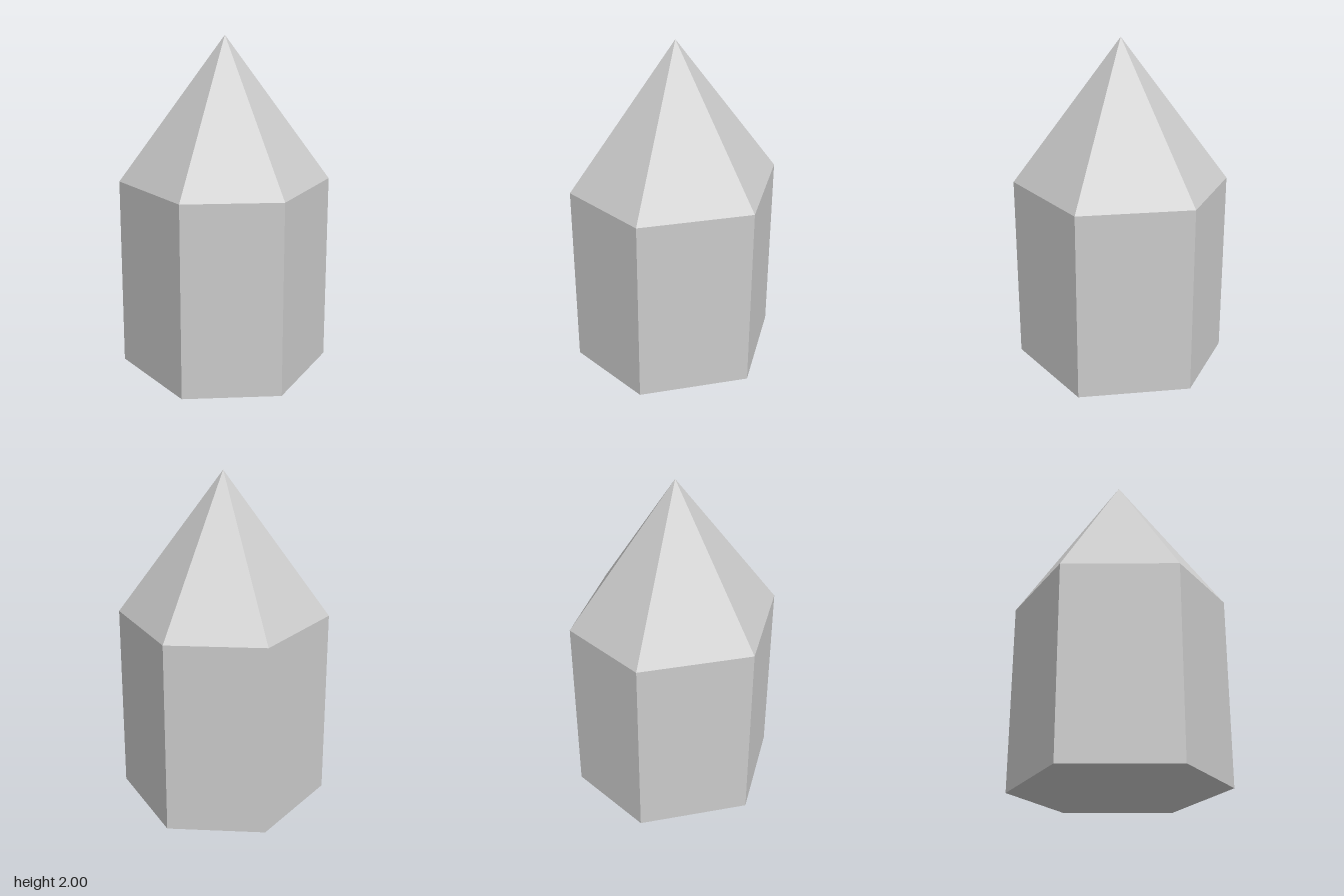
import * as THREE from 'three';

const R = 0.63;          // reach of the two side corners along x
const CORNER_X = 0.286;  // the four front and back corners
const CORNER_Z = 0.571;
const SHOULDER = 1.143;  // height where the point begins
const TOP = 2;

// Turns a regular six-sided section into the crystal's wider one
function shapeSection(geometry) {
  const flat = geometry.toNonIndexed();
  const p = flat.attributes.position;
  for (let i = 0; i < p.count; i++) {
    if (Math.abs(p.getZ(i)) < 0.001) continue;
    p.setX(i, Math.sign(p.getX(i)) * CORNER_X);
    p.setZ(i, Math.sign(p.getZ(i)) * CORNER_Z);
  }
  flat.computeVertexNormals();
  return flat;
}

export function createModel() {
  const crystal = new THREE.Group();
  crystal.name = 'crystal';
  const material = new THREE.MeshStandardMaterial({ color: 0xcccccc, flatShading: true });

  const add = (name, geometry, y) => {
    const mesh = new THREE.Mesh(shapeSection(geometry), material);
    mesh.name = name;
    mesh.position.y = y;
    crystal.add(mesh);
  };

  // Upright six-sided shaft
  add('shaft', new THREE.CylinderGeometry(R, R, SHOULDER, 6, 1, true, Math.PI / 2), SHOULDER / 2);

  // Six facets meeting in a point
  add('point', new THREE.ConeGeometry(R, TOP - SHOULDER, 6, 1, true, Math.PI / 2), (TOP + SHOULDER) / 2);

  // Flat underside
  add('base', new THREE.CircleGeometry(R, 6).rotateX(Math.PI / 2), 0);

  return crystal;
}
